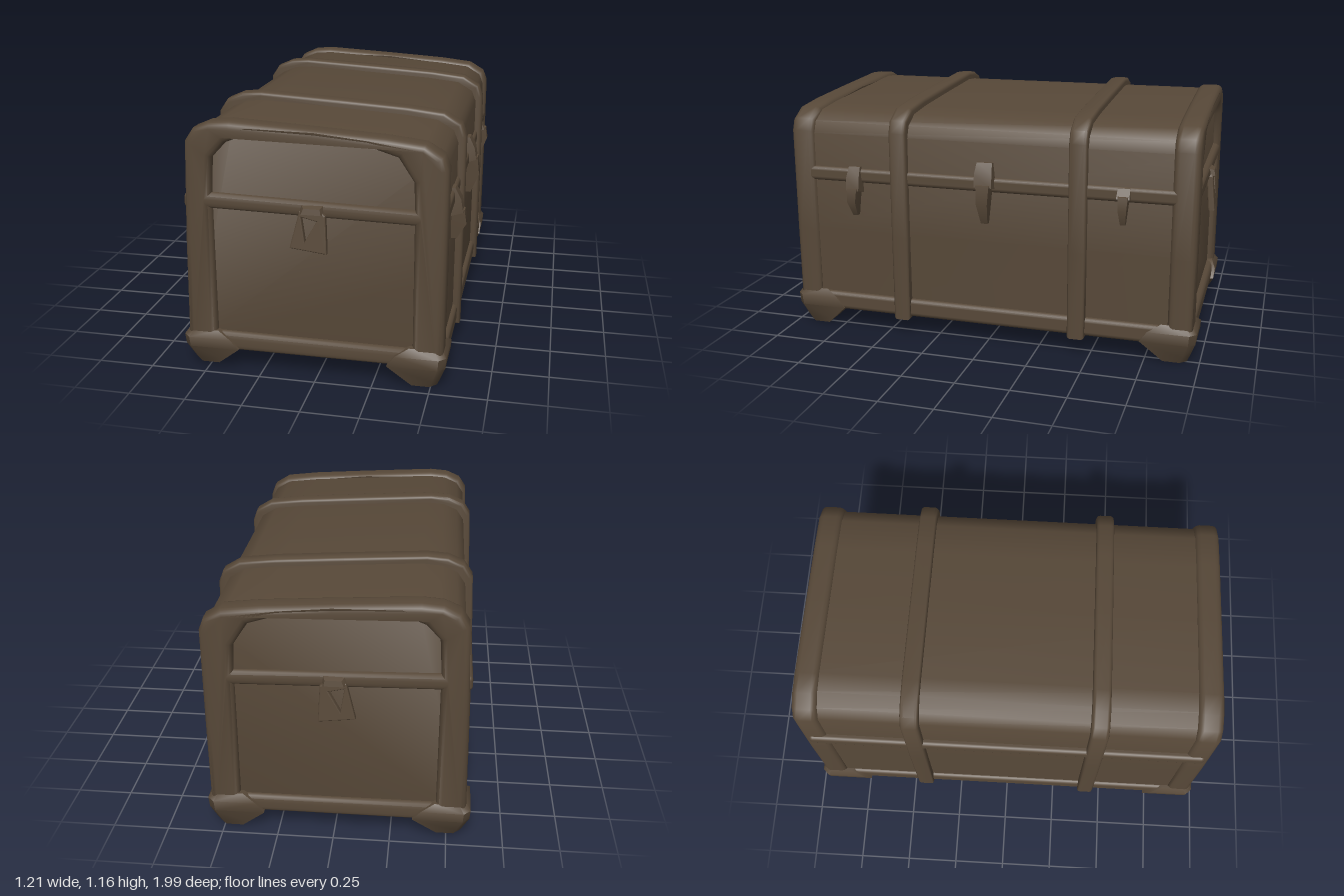
import * as THREE from 'three';
import { toCreasedNormals } from 'three/addons/utils/BufferGeometryUtils.js';
import { RoundedBoxGeometry } from 'three/addons/geometries/RoundedBoxGeometry.js';
import { ConvexGeometry } from 'three/addons/geometries/ConvexGeometry.js';

// Cross-section of the chest, slightly higher on the -x side
const OUTLINE = [
  [-0.585, 0.095], [0.553, 0.095], [0.556, 0.5], [0.556, 0.98], [0.535, 1.035], [0.46, 1.08],
  [0.3, 1.098], [0, 1.117], [-0.36, 1.137], [-0.45, 1.13], [-0.52, 1.1], [-0.557, 1.045], [-0.575, 0.6],
];
const BODY_PANEL = [[-0.45, 0.18], [-0.45, 0.752], [0.42, 0.735], [0.42, 0.175]];
const LID_PANEL = [
  [-0.45, 0.822], [-0.44, 0.98], [-0.38, 1.045], [-0.28, 1.085], [0, 1.082],
  [0.22, 1.06], [0.35, 1.02], [0.415, 0.92], [0.42, 0.8],
];

const vecs = (pts) => pts.map(([x, y]) => new THREE.Vector2(x, y));

// The outline grown outwards by d
function outline(d) {
  return new THREE.Shape(vecs(OUTLINE.map(([x, y]) => [
    -0.01 + (x + 0.01) * (1 + d / 0.57), 0.61 + (y - 0.61) * (1 + d / 0.52),
  ])));
}

// Extrusion with rounded rims whose outside size stays equal to the shape
function slab(shape, z0, z1, bevel) {
  const geo = new THREE.ExtrudeGeometry(shape, {
    depth: z1 - z0 - 2 * bevel, steps: 1, curveSegments: 6,
    bevelEnabled: true, bevelThickness: bevel, bevelSize: bevel, bevelOffset: -bevel, bevelSegments: 3,
  });
  geo.translate(0, 0, z0 + bevel);
  return toCreasedNormals(geo, 0.9);
}

const hull = (pts) => toCreasedNormals(
  new ConvexGeometry(pts.map((p) => new THREE.Vector3(...p))), 0.75);

export function createModel() {
  const chest = new THREE.Group();
  chest.name = 'chest';
  const wood = new THREE.MeshStandardMaterial({ color: 0x574838 });
  wood.name = 'dark brown';

  function add(name, geo, parent = chest) {
    const mesh = new THREE.Mesh(geo, wood);
    mesh.name = name;
    parent.add(mesh);
    return mesh;
  }

  // Body and lid boards
  add('body', slab(outline(-0.016), -0.935, 0.935, 0.01));

  // End frames with a body panel and a lid panel opening
  for (const s of [1, -1]) {
    const shape = outline(0);
    shape.holes.push(new THREE.Path(vecs(BODY_PANEL)), new THREE.Path(vecs(LID_PANEL)));
    add(s > 0 ? 'frontFrame' : 'backFrame', slab(shape, s > 0 ? 0.85 : -0.967, s > 0 ? 0.967 : -0.85, 0.028));
  }

  // Two straps round the chest
  for (const z of [0.42, -0.435]) add('strap', slab(outline(0.018), z - 0.042, z + 0.042, 0.016));

  // Lid seam rails and bottom rails along both long sides
  for (const [x, tilt] of [[0.53, 0], [-0.557, -0.02]]) {
    const rail = add('lidRail', new RoundedBoxGeometry(0.05, 0.07, 1.88, 2, 0.02));
    rail.position.set(x, 0.775, 0);
    rail.rotation.z = tilt;
    const base = add('bottomRail', new RoundedBoxGeometry(0.06, 0.09, 1.88, 2, 0.022));
    base.position.set(x < 0 ? -0.556 : 0.528, 0.135, 0);
  }

  // Tapered corner feet: rings of [height, outer inset, inner reach]
  const rings = [[0.185, 0.022, 0.16], [0.15, 0, 0.22], [0.1, 0.004, 0.255], [0.03, 0.03, 0.16], [0, 0.042, 0.15]];
  for (const sx of [1, -1]) {
    for (const sz of [1, -1]) {
      const cx = sx > 0 ? 0.567 : 0.604;
      const cz = 0.984;
      const lift = sx < 0 ? 0.018 : 0;
      const pts = [];
      for (const [y, o, i] of rings) {
        const c = 0.03;
        for (const [dx, dz] of [[o + c, o], [o, o + c], [i, o], [o, i], [i, i]]) {
          pts.push([sx * (cx - dx), y + lift * (1 - y / 0.185), sz * (cz - dz)]);
        }
      }
      add('foot', hull(pts));
    }
  }

  // End clasps: a hanging plate with a triangular eye under a small hinge
  for (const s of [1, -1]) {
    const clasp = new THREE.Group();
    clasp.name = s > 0 ? 'frontClasp' : 'backClasp';
    const plate = new THREE.Shape(vecs([[-0.1, 0.615], [0.06, 0.597], [0.052, 0.76], [0.02, 0.79], [-0.06, 0.775]]));
    plate.holes.push(new THREE.Path(vecs([[-0.052, 0.75], [0.015, 0.735], [-0.035, 0.645]])));
    const geo = slab(plate, 0.955, 0.985, 0.006);
    // Lean the plate outwards towards its middle
    const p = geo.attributes.position;
    for (let i = 0; i < p.count; i++) p.setZ(i, p.getZ(i) + (0.72 - p.getY(i)) * 0.1);
    geo.computeVertexNormals();
    add('claspPlate', geo, clasp);
    add('claspHinge', hull([
      [-0.08, 0.75, 0.93], [0.06, 0.75, 0.93], [-0.07, 0.81, 0.93], [0.05, 0.81, 0.93],
      [-0.05, 0.765, 0.99], [0.035, 0.765, 0.99], [-0.04, 0.79, 0.985], [0.03, 0.79, 0.985],
    ]), clasp);
    clasp.scale.z = s;
    chest.add(clasp);
  }

  // Side latches on the +x side: a knuckle on the lid and a tapering tongue
  function latch(name, z, top, mid, bottom, w, reach) {
    const group = new THREE.Group();
    group.name = name;
    const knuckle = [];
    const tongue = [];
    for (const k of [1, -1]) {
      knuckle.push([0.52, top, z + k * w * 0.75], [0.555, top, z + k * w * 0.7], [0.52, mid, z + k * w],
        [reach - 0.025, top - 0.05, z + k * w * 0.8], [reach - 0.015, mid + 0.02, z + k * w * 0.8]);
      tongue.push([0.52, mid + 0.04, z + k * w * 0.7], [reach - 0.01, mid + 0.03, z + k * w * 0.6],
        [0.53, bottom, z + k * w * 0.3], [reach, (mid + bottom) / 2 + 0.02, z + k * w * 0.5],
        [0.565, bottom, z + k * w * 0.3]);
    }
    add('latchKnuckle', hull(knuckle), group);
    add('latchTongue', hull(tongue), group);
    chest.add(group);
  }
  latch('middleLatch', 0, 0.88, 0.75, 0.595, 0.052, 0.605);
  latch('frontLatch', 0.645, 0.82, 0.69, 0.585, 0.04, 0.607);
  latch('backLatch', -0.64, 0.805, 0.74, 0.64, 0.038, 0.593);

  return chest;
}
